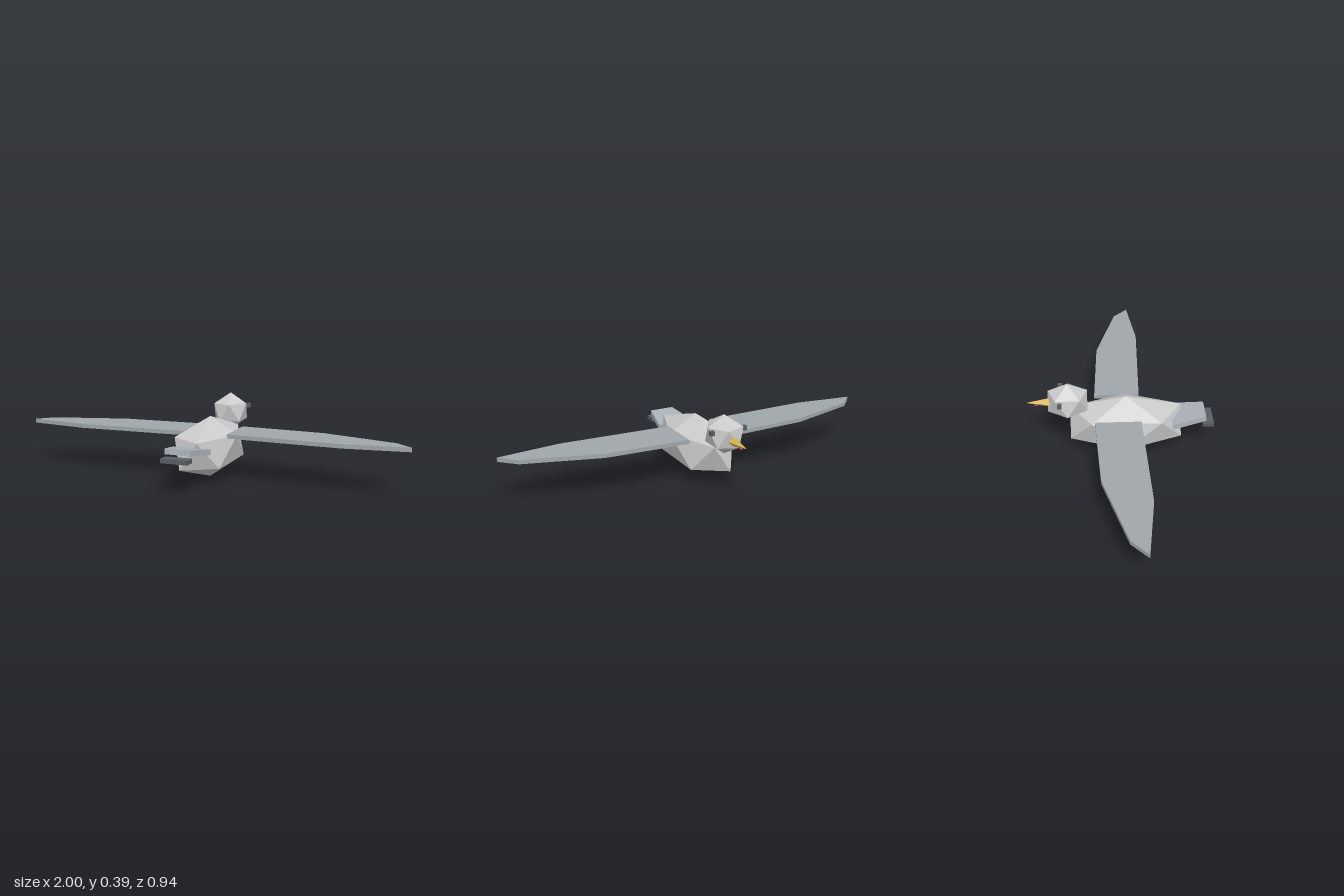
import * as THREE from 'three';

const material = (color) => new THREE.MeshStandardMaterial({ color, flatShading: true });

// Twenty-sided ball standing on a vertex, with a ring vertex towards +x.
function facetedBall(rx, ry, rz) {
  const geometry = new THREE.IcosahedronGeometry(1, 0);
  geometry.rotateX(-Math.atan((1 + Math.sqrt(5)) / 2));
  geometry.rotateY(Math.PI / 2);
  geometry.scale(rx, ry, rz);
  return geometry;
}

// Flat plate from an [x, z] outline, centred on y = 0.
function plate(outline, thickness) {
  const shape = new THREE.Shape(outline.map(([x, z]) => new THREE.Vector2(x, -z)));
  const geometry = new THREE.ExtrudeGeometry(shape, { depth: thickness, bevelEnabled: false });
  geometry.translate(0, 0, -thickness / 2);
  geometry.rotateX(-Math.PI / 2);
  return geometry;
}

export function createModel() {
  const bird = new THREE.Group();
  bird.name = 'bird';

  const plumage = material(0xcccccc);
  const wingGrey = material(0xa0a6aa);
  const tailGrey = material(0xaab0b8);
  const dark = material(0x5a5e63);
  const yellow = material(0xd8b450);
  const red = material(0xc05048);

  function add(name, geometry, mat, x, y, z) {
    const mesh = new THREE.Mesh(geometry, mat);
    mesh.name = name;
    mesh.position.set(x, y, z);
    bird.add(mesh);
    return mesh;
  }

  add('body', facetedBall(0.162, 0.154, 0.329), plumage, 0, 0.154, 0.03);
  add('head', facetedBall(0.097, 0.098, 0.115), plumage, 0, 0.29, -0.26);

  // Four-sided beak pointing forward, with a spot under its tip
  const beak = new THREE.ConeGeometry(0.027, 0.12, 4);
  beak.rotateX(-Math.PI / 2);
  add('beak', beak, yellow, 0, 0.282, -0.407);
  add('beakSpot', new THREE.BoxGeometry(0.012, 0.012, 0.016), red, 0, 0.271, -0.417);

  // Wings and eyes, mirrored
  const wingOutline = [
    [0.116, -0.127], [0.545, -0.107], [0.92, 0.003],
    [1.0, 0.08], [0.685, 0.12], [0.116, 0.102],
  ];
  for (const [side, label] of [[1, 'left'], [-1, 'right']]) {
    const outline = wingOutline.map(([x, z]) => [x * side, z]);
    add(label + 'Wing', plate(outline, 0.021), wingGrey, 0, 0.225, 0);
    add(label + 'Eye', new THREE.BoxGeometry(0.02, 0.022, 0.022), dark, side * 0.087, 0.319, -0.298);
  }

  // Raised, tapering tail and the dark band behind it
  const tailOutline = [[-0.096, -0.086], [0.096, -0.086], [0.064, 0.086], [-0.064, 0.086]];
  const tail = add('tail', plate(tailOutline, 0.027), tailGrey, 0, 0.19, 0.346);
  tail.rotation.x = -0.155;
  add('tailBand', new THREE.BoxGeometry(0.134, 0.021, 0.056), dark, 0, 0.166, 0.443);

  return bird;
}
